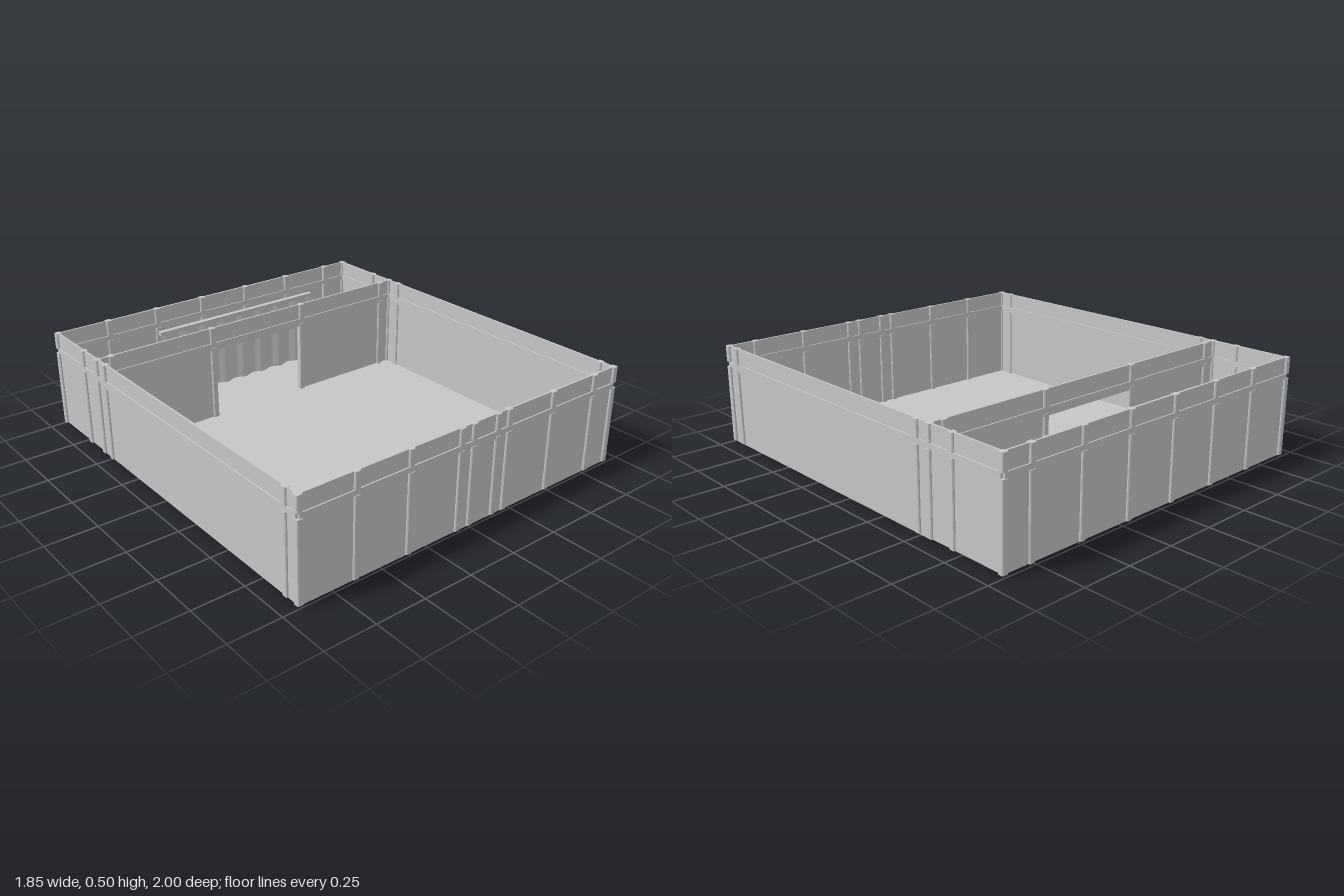
import * as THREE from 'three';

const BASE = 0.01, RAIL_LOW = 0.395, RAIL_TOP = 0.42, TOP = 0.5;
const X = 0.911, Z = 0.985, DIVIDER = -0.567;

export function createModel() {
  const model = new THREE.Group();
  model.name = 'walledEnclosure';
  const grey = new THREE.MeshStandardMaterial({ color: 0xc6c6c6 });
  grey.name = 'plain grey';
  const greyCloth = grey.clone();
  greyCloth.name = 'plain grey cloth';
  greyCloth.side = THREE.DoubleSide;

  function box(parent, name, x0, x1, y0, y1, z0, z1) {
    const mesh = new THREE.Mesh(new THREE.BoxGeometry(x1 - x0, y1 - y0, z1 - z0), grey);
    mesh.position.set((x0 + x1) / 2, (y0 + y1) / 2, (z0 + z1) / 2);
    mesh.name = name;
    parent.add(mesh);
  }

  // Square post with small chamfers
  const a = 0.015, c = 0.011;
  const section = new THREE.Shape([
    [a, -c], [a, c], [c, a], [-c, a], [-a, c], [-a, -c], [-c, -a], [c, -a],
  ].map(([x, y]) => new THREE.Vector2(x, y)));

  function postPiece(parent, x, z, y0, y1) {
    const geo = new THREE.ExtrudeGeometry(section, { depth: y1 - y0, bevelEnabled: false });
    geo.rotateX(-Math.PI / 2);
    const mesh = new THREE.Mesh(geo, grey);
    mesh.position.set(x, y0, z);
    mesh.name = 'post';
    parent.add(mesh);
  }

  // The rail passes between the lower and the upper piece of each post
  function post(parent, x, z) {
    postPiece(parent, x, z, BASE, RAIL_LOW);
    postPiece(parent, x, z, RAIL_TOP, TOP);
  }

  // A wall runs along local x: thin panels, a rail, posts and deeper headers over wide bays
  function wall(name, from, to, posts, headers, opening) {
    const group = new THREE.Group();
    group.name = name;
    const p = 0.005, r = 0.0115;
    box(group, 'upperPanel', from, to, RAIL_TOP, TOP, -p, p);
    box(group, 'rail', from, to, RAIL_LOW, RAIL_TOP, -r, r);
    const spans = opening ? [[from, opening[0]], [opening[1], to]] : [[from, to]];
    for (const [s, e] of spans) box(group, 'lowerPanel', s, e, BASE, RAIL_LOW, -p, p);
    for (const [s, e] of headers) box(group, 'header', s, e, 0.38, RAIL_LOW, -r, r);
    for (const x of posts) post(group, x, 0);
    model.add(group);
    return group;
  }

  // Floors of the main room and the back room
  box(model, 'mainFloor', -X, X, 0, BASE, DIVIDER, Z);
  box(model, 'backFloor', -X, X, 0.005, BASE, -Z, DIVIDER);

  // Front and back walls
  const evenPosts = [-0.635, -0.355, -0.075, 0.208, 0.489, 0.77];
  wall('frontWall', -X, X, [...evenPosts, -0.003, 0.139], [[-0.003, 0.139]]).position.z = Z;
  wall('backWall', -X, X, evenPosts, []).position.z = -Z;

  // Dividing wall with its wide doorway
  wall('dividingWall', -X, X, [-0.84, -0.28, 0.28, 0.84],
    [[-0.84, -0.28], [-0.28, 0.28], [0.28, 0.84]], [-0.28, 0.28]).position.z = DIVIDER;

  // Side walls
  for (const [name, side] of [['leftWall', 1], ['rightWall', -1]]) {
    const group = wall(name, -Z, Z, [-0.91, 0.49, 0.705], [[-0.91, 0.49]]);
    group.rotation.y = Math.PI / 2;
    group.position.x = side * X;
    for (const z of [-Z, DIVIDER, Z]) post(model, side * X, z);
  }

  // Curtain with soft folds on a flat rail
  const curtain = new THREE.Group();
  curtain.name = 'curtain';
  box(curtain, 'curtainRail', -0.42, 0.56, 0.405, 0.425, -0.86, -0.833);
  const cloth = new THREE.PlaneGeometry(0.96, 0.37, 96, 1);
  const pos = cloth.attributes.position;
  for (let i = 0; i < pos.count; i++) {
    pos.setZ(i, 0.011 * Math.sin(pos.getX(i) * Math.PI * 2 / 0.12));
  }
  cloth.computeVertexNormals();
  const drape = new THREE.Mesh(cloth, greyCloth);
  drape.position.set(0.07, 0.22, -0.847);
  drape.name = 'curtainCloth';
  curtain.add(drape);
  model.add(curtain);

  return model;
}
